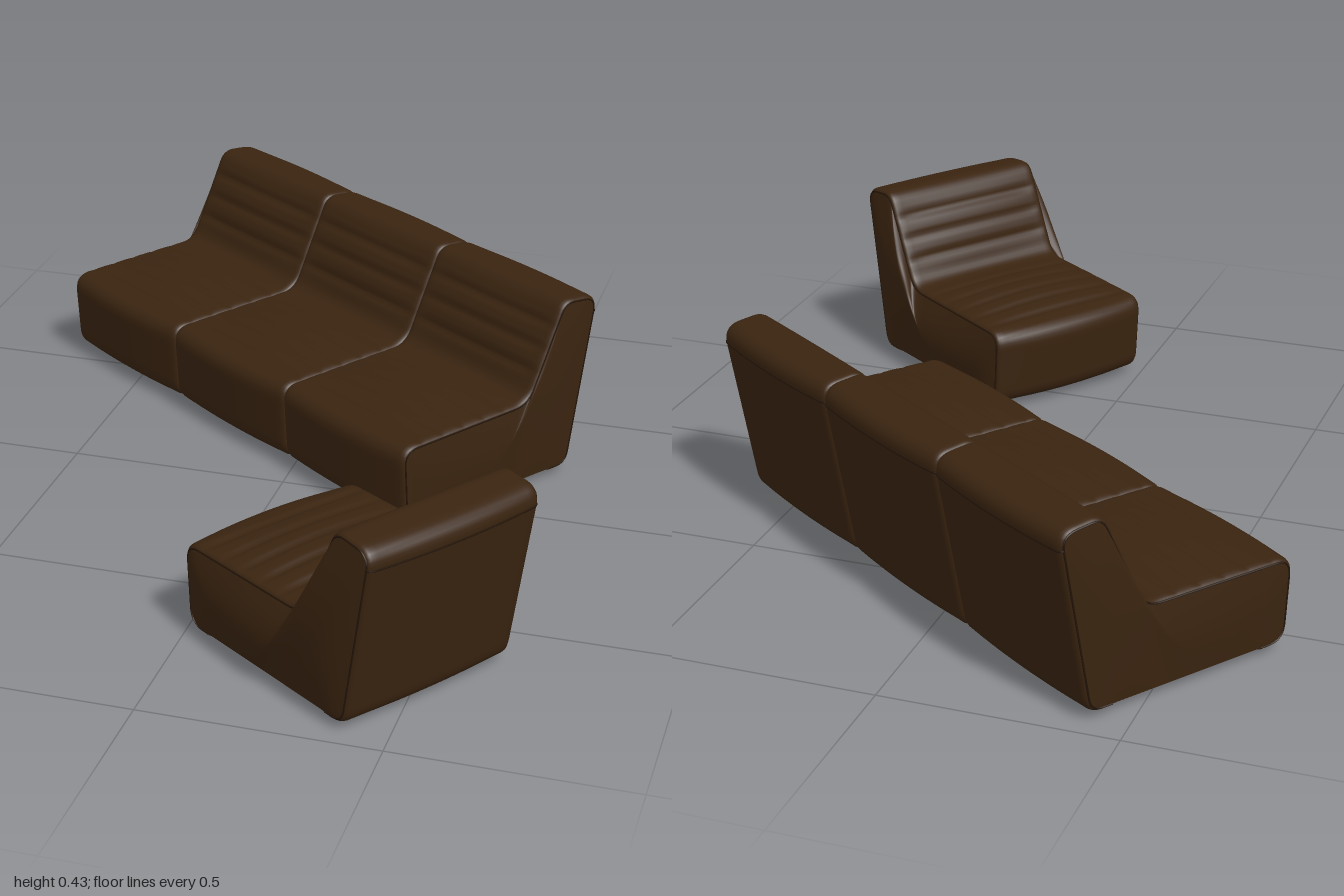
import * as THREE from 'three';

// The upholstery is an open shell, visible from underneath
const leather = new THREE.MeshStandardMaterial({ color: 0x3a2410, side: THREE.DoubleSide });
leather.name = 'brown leather';
const seamDark = new THREE.MeshStandardMaterial({ color: 0x241508 });
seamDark.name = 'dark seam';
const footBrown = new THREE.MeshStandardMaterial({ color: 0x352010 });
footBrown.name = 'foot brown';

const N = 160; // samples along the side profile

// Side profile as (z, y): front bottom lip, seat, backrest, back, rear bottom lip
function sideProfile() {
  const corners = [
    [0.205, 0.014, 0], [0.27, 0.014, 0.045], [0.283, 0.208, 0.045], [-0.085, 0.214, 0.035],
    [-0.188, 0.433, 0.03], [-0.296, 0.422, 0.045], [-0.222, 0.014, 0.035], [-0.165, 0.014, 0],
  ].map(([z, y, r]) => ({ p: new THREE.Vector2(z, y), r }));
  const toward = (a, b, r) => b.clone().sub(a).setLength(r).add(a);
  const path = new THREE.Path();
  path.moveTo(corners[0].p.x, corners[0].p.y);
  for (let i = 1; i < corners.length - 1; i++) {
    const { p, r } = corners[i];
    const a = toward(p, corners[i - 1].p, r), b = toward(p, corners[i + 1].p, r);
    path.lineTo(a.x, a.y);
    path.quadraticCurveTo(p.x, p.y, b.x, b.y);
  }
  const end = corners[corners.length - 1].p;
  path.lineTo(end.x, end.y);
  return path.getSpacedPoints(N);
}
const profile = sideProfile();

// Outward normals of the profile
const normals = profile.map((p, i) => {
  const t = profile[Math.min(i + 1, N)].clone().sub(profile[Math.max(i - 1, 0)]).normalize();
  return new THREE.Vector2(t.y, -t.x);
});

// Row of the stitched line below the top of the back
const backSeamRow = profile.findIndex((p, i) => normals[i].x < -0.5 && p.y < 0.388);

// Smooth grid surface from f(column, row)
function grid(columns, rows, f, flip = false) {
  const pos = [], index = [];
  for (let c = 0; c <= columns; c++) for (let r = 0; r <= rows; r++) pos.push(...f(c, r));
  for (let c = 0; c < columns; c++) for (let r = 0; r < rows; r++) {
    const a = c * (rows + 1) + r, b = a + rows + 1;
    if (flip) index.push(a, b + 1, b, a, a + 1, b + 1);
    else index.push(a, b, b + 1, a, b + 1, a + 1);
  }
  const g = new THREE.BufferGeometry();
  g.setAttribute('position', new THREE.Float32BufferAttribute(pos, 3));
  g.setIndex(index);
  g.computeVertexNormals();
  return g;
}

const groove = (v, lines) => lines.reduce((s, l) => s + Math.exp(-(((v - l) / 0.008) ** 2)), 0);
const seatLines = [-0.015, 0.045, 0.105, 0.165, 0.225];
const backLines = [0.275, 0.325, 0.375];

// Point of the upholstery at u (-1..1 across) and profile row i
function skin(u, i, half, frontPuff) {
  const p = profile[i], n = normals[i], puff = 1 - u * u;
  const isBackrest = p.y > 0.235 && n.x > 0.5;
  const isSeat = n.y > 0.8 && p.y < 0.3 && p.y > 0.1;
  let out = 0;
  if (isBackrest) out = 0.008 * puff * Math.sin(Math.PI * Math.min(1, (p.y - 0.235) / 0.19));
  else if (p.y < 0.215 && n.x > 0) out = frontPuff * puff * n.x ** 2;
  else if (n.x < 0) out = 0.01 * puff * n.x ** 2;
  if (isSeat) out += 0.016 * puff * Math.sin(Math.PI * THREE.MathUtils.clamp((p.x + 0.085) / 0.345, 0, 1));
  const stitched = 1 - u ** 8;
  if (isSeat) out -= 0.007 * stitched * groove(p.x, seatLines);
  if (isBackrest) out -= 0.007 * stitched * groove(p.y, backLines);
  // Rounded side edge
  const d = Math.min(1, ((1 - Math.abs(u)) * half) / 0.014);
  out -= 0.008 * (1 - Math.sqrt(1 - (1 - d) ** 2));
  return [u * half, p.y + n.y * out, p.x + n.x * out];
}

// One upholstered seat unit with ribs and seams; closedSides lists the sides that get a panel
function seatUnit(half, frontPuff, sideBulge, closedSides) {
  const unit = new THREE.Group();
  unit.name = 'seatUnit';
  const add = (geometry, material, name) => {
    const m = new THREE.Mesh(geometry, material);
    m.name = name;
    unit.add(m);
  };
  const addSeam = (points, name) =>
    add(new THREE.TubeGeometry(new THREE.CatmullRomCurve3(points), 120, 0.0022, 5), seamDark, name);
  // Columns bunch up near the side edges
  const cols = 26;
  const across = (c) => Math.sin((c / cols - 0.5) * Math.PI);
  add(grid(cols, N, (c, r) => skin(across(c), r, half, frontPuff)), leather, 'cushionBody');
  addSeam(Array.from({ length: cols + 1 }, (_, c) =>
    new THREE.Vector3(...skin(across(c), backSeamRow, half, frontPuff))), 'backSeam');

  for (const side of [-1, 1]) {
    const rim = profile.map((_, i) => new THREE.Vector3(...skin(side, i, half, frontPuff)));
    addSeam(rim, 'sideSeam');
    if (!closedSides.includes(side)) continue;
    const steps = 8;
    add(grid(steps, N, (c, r) => {
      const v = c / steps, s = r / N;
      const q = rim[0].clone().lerp(rim[N], s);
      const p = rim[r].clone().lerp(q, v);
      return [p.x + side * sideBulge * Math.sin(Math.PI * s) * Math.sin(Math.PI * v), p.y, p.z];
    }, side < 0), leather, 'sidePanel');
  }
  return unit;
}

// Row of seat units standing on four feet
function seating(name, count, half, frontPuff, sideBulge, footX) {
  const group = new THREE.Group();
  group.name = name;
  for (let k = 0; k < count; k++) {
    const closedSides = [k === 0 ? -1 : 0, k === count - 1 ? 1 : 0];
    const unit = seatUnit(half, frontPuff, sideBulge, closedSides);
    unit.position.x = (k - (count - 1) / 2) * half * 2;
    group.add(unit);
  }
  for (const x of [-footX, footX]) for (const z of [0.18, -0.14]) {
    const foot = new THREE.Mesh(new THREE.CylinderGeometry(0.031, 0.031, 0.045, 20), footBrown);
    foot.name = 'foot';
    foot.position.set(x, 0.0225, z);
    group.add(foot);
  }
  return group;
}

export function createModel() {
  const model = new THREE.Group();
  model.name = 'loungeSet';

  const sofa = seating('sofa', 3, 0.2085, 0.012, 0.008, 0.54);
  sofa.position.set(-0.034, 0, -0.42);
  sofa.rotation.y = -0.605;

  const chair = seating('armlessChair', 1, 0.213, 0.02, 0.028, 0.14);
  chair.position.set(0.352, 0, 0.664);
  chair.rotation.y = -0.605 - Math.PI / 2;

  model.add(sofa, chair);
  return model;
}
